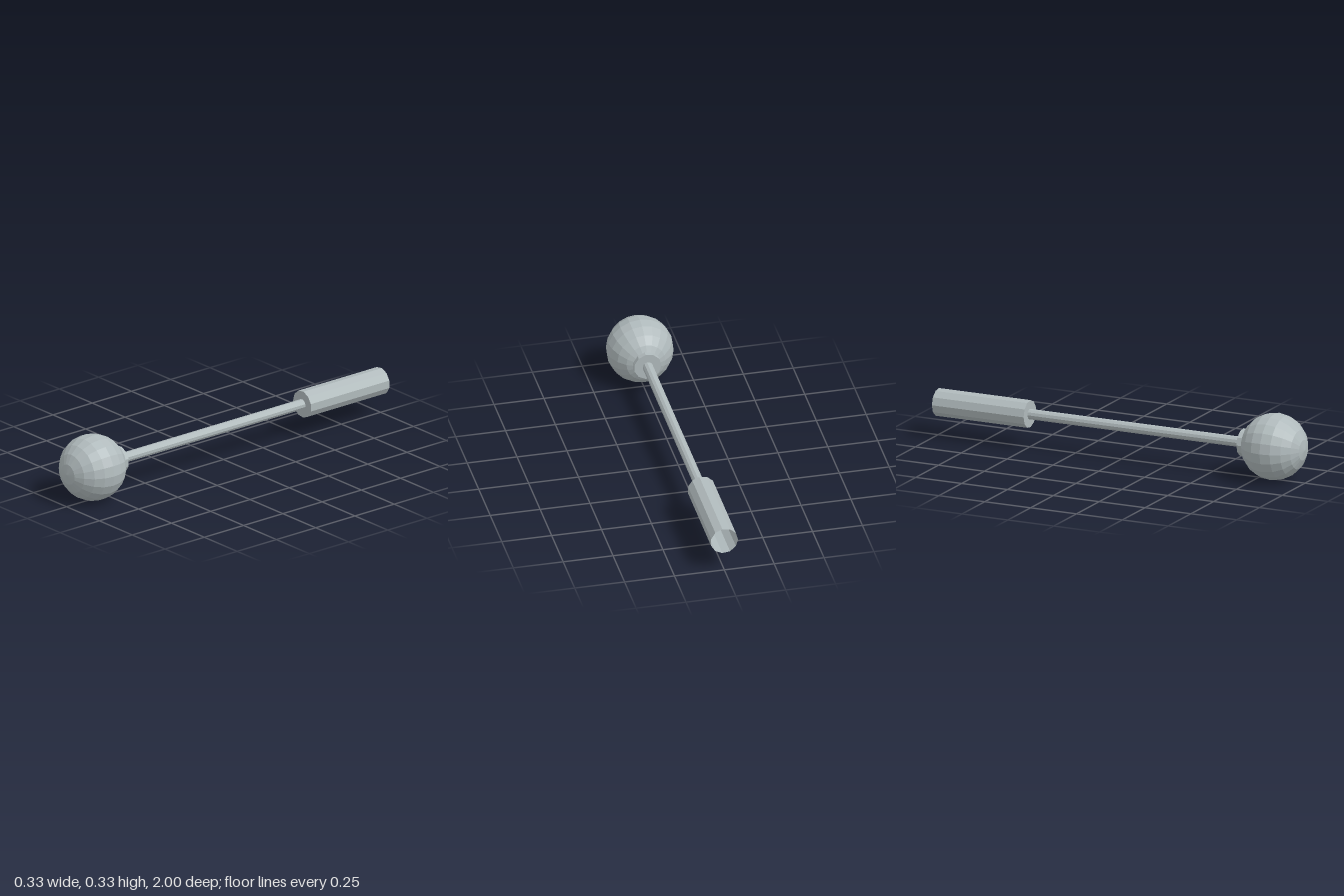
import * as THREE from 'three';

const AXIS_Y = 0.166;
const SIDES = 11;

export function createModel() {
  const model = new THREE.Group();
  const metal = new THREE.MeshStandardMaterial({ color: 0xb0babc, flatShading: true, side: THREE.DoubleSide });
  metal.name = 'pale grey metal';

  function add(name, geometry, z) {
    const mesh = new THREE.Mesh(geometry, metal);
    mesh.name = name;
    mesh.position.set(0, AXIS_Y, z);
    model.add(mesh);
  }

  // Round bar along z, with a corner pointing to -x
  function bar(name, radius, z0, z1, open) {
    const geometry = new THREE.CylinderGeometry(radius, radius, z1 - z0, SIDES, 1, open, -Math.PI / 2);
    add(name, geometry.rotateX(Math.PI / 2), (z0 + z1) / 2);
  }

  // Faceted ball with its poles on the z axis
  add('ballHead', new THREE.SphereGeometry(0.166, 20, 10).rotateX(Math.PI / 2), 0.834);

  // Collar behind the ball and the thin shaft
  bar('collar', 0.069, 0.66, 0.7, false);
  bar('shaft', 0.026, -0.5, 0.66, true);

  // Hollow handle, closed at the front and open at the back
  bar('handle', 0.069, -1, -0.5, true);
  add('handleFrontCap', new THREE.CircleGeometry(0.069, SIDES, Math.PI), -0.5);

  return model;
}
